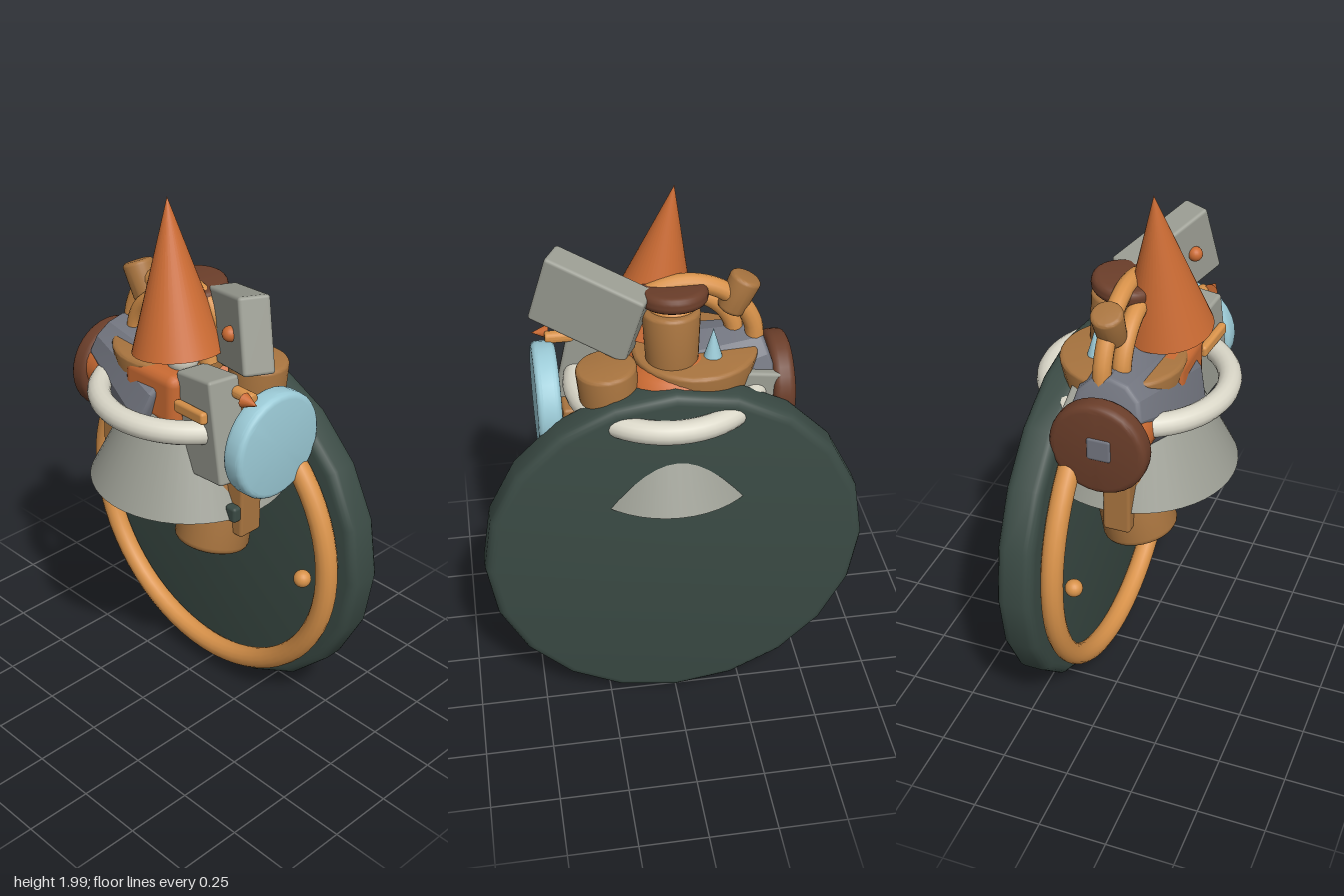
import * as THREE from 'three';
import { toCreasedNormals } from 'three/addons/utils/BufferGeometryUtils.js';
import { RoundedBoxGeometry } from 'three/addons/geometries/RoundedBoxGeometry.js';

const mat = (name, color) => {
  const m = new THREE.MeshStandardMaterial({ color });
  m.name = name;
  return m;
};

export function createModel() {
  const green = mat('dark green', 0x3a4a44);
  const ochre = mat('ochre', 0xd8924a);
  const tan = mat('tan', 0xa8743f);
  const orange = mat('orange', 0xcb6b33);
  const brown = mat('brown', 0x6b3e2a);
  const grey = mat('warm grey', 0x9b9d93);
  const slate = mat('slate', 0x737680);
  const blue = mat('light blue', 0x9ccbd7);
  const cream = mat('cream', 0xdad7c8);
  grey.side = THREE.DoubleSide;

  const model = new THREE.Group();
  model.name = 'model';

  function add(name, geometry, material, pos, rot = [0, 0, 0], order = 'XYZ') {
    const mesh = new THREE.Mesh(geometry, material);
    mesh.name = name;
    mesh.position.set(...pos);
    mesh.rotation.set(...rot, order);
    model.add(mesh);
    return mesh;
  }

  // Cylinder about y with softened rims; r0 is the bottom radius, r1 the top
  function softCylinder(r0, r1, h, bevel = 0.015, sides = 32) {
    const pts = [new THREE.Vector2(0, -h / 2)];
    for (let i = 0; i <= 4; i++) {
      const a = (i / 4) * Math.PI / 2;
      pts.push(new THREE.Vector2(r0 - bevel + bevel * Math.sin(a), -h / 2 + bevel - bevel * Math.cos(a)));
    }
    for (let i = 0; i <= 4; i++) {
      const a = (i / 4) * Math.PI / 2;
      pts.push(new THREE.Vector2(r1 - bevel + bevel * Math.cos(a), h / 2 - bevel + bevel * Math.sin(a)));
    }
    pts.push(new THREE.Vector2(0, h / 2));
    return toCreasedNormals(new THREE.LatheGeometry(pts, sides), 0.5);
  }
  const box = (w, h, d, r = 0.012) => new RoundedBoxGeometry(w, h, d, 2, r);
  const ball = (r) => new THREE.SphereGeometry(r, 20, 14);
  const half = Math.PI / 2;

  // Large upright disc with its rim ring and two studs
  add('backDisc', softCylinder(0.69, 0.69, 0.135, 0.035, 20), green, [0, 0.7, -0.207], [half, 0, 0]);
  add('discRing', new THREE.TorusGeometry(0.595, 0.04, 14, 64), ochre, [0, 0.7, -0.1]);
  for (const s of [-1, 1]) add('ringStud', ball(0.032), ochre, [s * 0.53, 0.705, -0.045]);

  // Flared skirt and the hoop around it
  add('skirt', new THREE.CylinderGeometry(0.2, 0.362, 0.32, 48), grey, [0, 1.1, 0]);
  add('hoop', new THREE.TorusGeometry(0.32, 0.042, 16, 56), cream, [0, 1.28, 0], [half, 0, 0]);

  // Legs, side planks and the slab beneath the skirt
  for (const s of [-1, 1]) {
    add('leg', softCylinder(0.135, 0.125, 0.3, 0.025), tan, [s * 0.2, 0.915, 0.05], [-0.23, 0, 0]);
    add('sidePlank', box(0.13, 0.32, 0.1), tan, [s * 0.3, 1.02, 0.05]);
  }
  add('underSlab', box(0.33, 0.16, 0.24), blue, [-0.04, 0.965, 0.1], [0, 0, -0.02]);
  add('plankClip', box(0.05, 0.06, 0.04), green, [0.335, 0.96, 0.11]);

  // Torso pointing sideways, with shoulder and hub
  add('torso', softCylinder(0.23, 0.13, 0.4, 0.02, 12), slate, [-0.18, 1.29, 0.02], [0, 0, half - 0.3]);
  add('torsoSide', box(0.14, 0.3, 0.2), slate, [-0.29, 1.22, 0.02], [0, 0, 0.2]);
  add('shoulder', softCylinder(0.11, 0.11, 0.12), orange, [-0.32, 1.27, 0.06], [0, 0, half]);
  add('sideBlock', box(0.22, 0.2, 0.08), grey, [-0.31, 1.26, -0.1], [0, 0.1, 0.2]);

  // Side wheels
  add('rightWheel', softCylinder(0.175, 0.175, 0.08, 0.025), brown, [-0.4, 1.24, 0.01], [0, 0, half]);
  add('wheelHub', box(0.03, 0.09, 0.09), slate, [-0.43, 1.25, 0.02]);
  add('leftWheel', softCylinder(0.195, 0.195, 0.085, 0.022), blue, [0.42, 1.24, 0.02], [0, 0, half]);

  // Chest bowl and front pocket
  add('chestBowl', softCylinder(0.17, 0.22, 0.26), tan, [-0.1, 1.3, -0.02]);
  add('frontPocket', box(0.26, 0.2, 0.14, 0.04), orange, [0, 1.33, 0.13]);
  add('collarBead', ball(0.06), cream, [0.06, 1.46, 0.09]);

  // Rear collar, neck, cap and barrel
  const collar = add('rearCollar', ball(1), orange, [-0.03, 1.33, -0.1]);
  collar.scale.set(0.19, 0.11, 0.15);
  add('neck', softCylinder(0.09, 0.1, 0.22), tan, [-0.01, 1.5, -0.075], [0.1, 0, 0]);
  add('neckCap', softCylinder(0.12, 0.12, 0.06, 0.025), brown, [-0.02, 1.65, -0.04], [0.12, 0, 0]);
  add('neckBand', softCylinder(0.08, 0.08, 0.06), ochre, [-0.015, 1.6, -0.055]);
  add('rearBarrel', softCylinder(0.1, 0.105, 0.32), tan, [0.21, 1.28, -0.12], [0, 0, -0.08]);

  // Twin curved pipes and the stub on their side
  const arch = (dz, r) => {
    const pts = [];
    for (let i = 0; i <= 8; i++) {
      const a = Math.PI * (1.03 - i / 8);
      pts.push(new THREE.Vector3(-0.06 + r * Math.cos(a), 1.42 + r * Math.sin(a), dz));
    }
    return new THREE.TubeGeometry(new THREE.CatmullRomCurve3(pts), 40, 0.033, 12);
  };
  add('outerPipe', arch(-0.015, 0.255), ochre, [0, 0, 0]);
  add('innerPipe', arch(0.03, 0.19), ochre, [0, 0, 0]);
  add('pipeStub', softCylinder(0.05, 0.056, 0.14), tan, [-0.25, 1.615, -0.01], [0, 0, 0.42]);
  add('rearSpike', new THREE.ConeGeometry(0.04, 0.14, 20), blue, [-0.15, 1.47, -0.1]);

  // Tall pointed cone leaning to one side
  const up = new THREE.Vector3(-0.08, 0.52, -0.025);
  const cone = add('pointedCone', new THREE.ConeGeometry(0.162, up.length(), 40), orange, [0, 1.74, 0.077]);
  cone.quaternion.setFromUnitVectors(new THREE.Vector3(0, 1, 0), up.normalize());

  // Tilted upper box with a button
  add('upperBox', box(0.37, 0.26, 0.11), grey, [0.255, 1.605, 0.01], [0, -0.49, 0.3], 'YXZ');
  add('upperButton', ball(0.027), orange, [0.295, 1.63, 0.1]);

  // Front box with its latch and side knobs
  add('frontBox', box(0.21, 0.37, 0.12), grey, [0.25, 1.285, 0.13], [0, -0.2, 0.21], 'YXZ');
  add('latch', box(0.17, 0.045, 0.03), ochre, [0.215, 1.345, 0.2], [0, -0.15, 0.12], 'YXZ');
  add('sidePeg', softCylinder(0.022, 0.022, 0.1, 0.008, 16), ochre, [0.36, 1.43, 0.1], [0, 0, half]);
  add('sideKnob', new THREE.ConeGeometry(0.026, 0.06, 16), orange, [0.425, 1.435, 0.13], [0, 0, -half]);

  return model;
}
